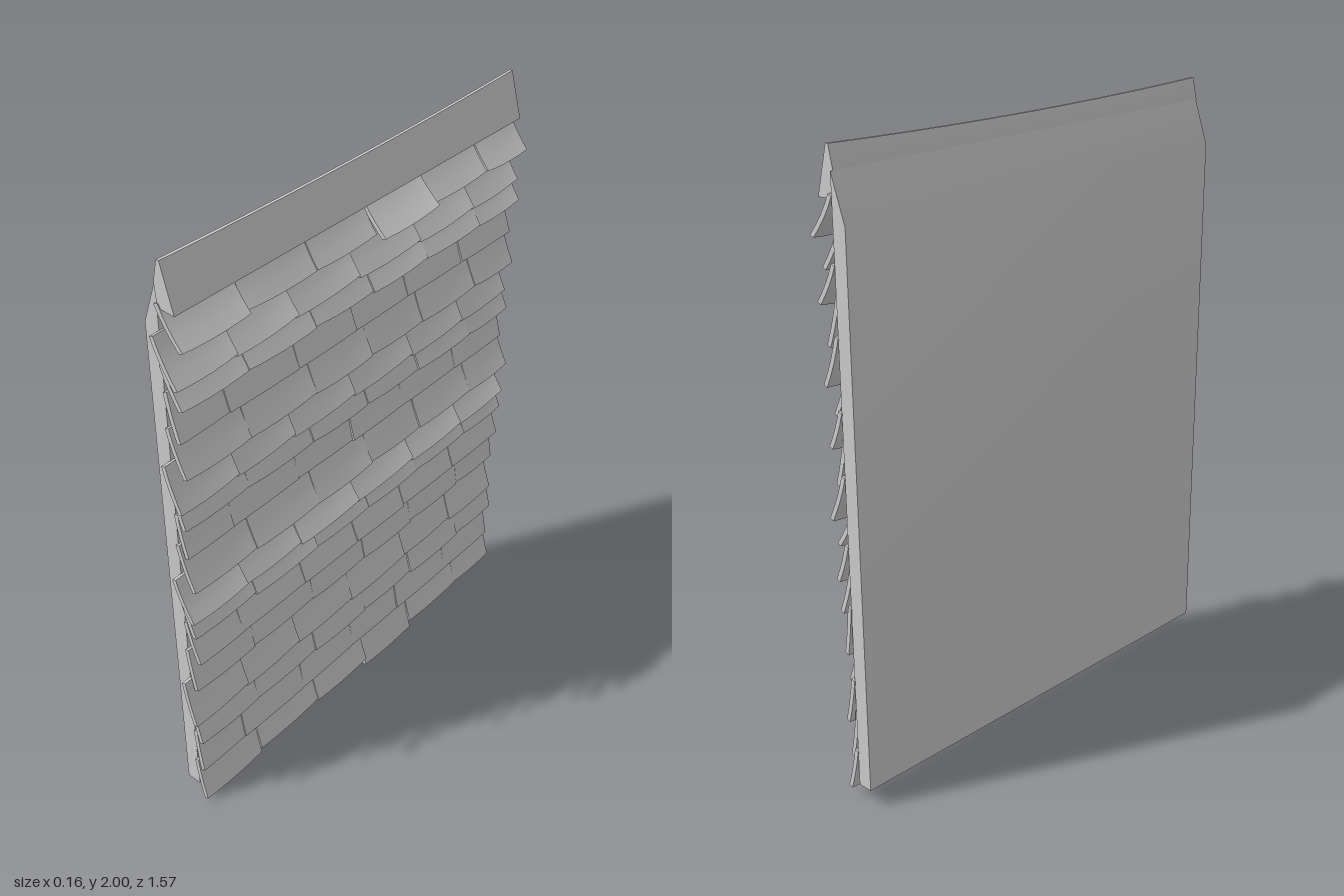
import * as THREE from 'three';
import { toCreasedNormals } from 'three/addons/utils/BufferGeometryUtils.js';

const material = new THREE.MeshStandardMaterial({ color: 0xcccccc });

// Small seeded generator for the hand-laid irregularity, -1 to 1
let seed = 11;
function vary(amount) {
  seed = (seed * 16807) % 2147483647;
  return (seed / 2147483647 * 2 - 1) * amount;
}

function addMesh(parent, geometry, name) {
  const mesh = new THREE.Mesh(toCreasedNormals(geometry, 0.6), material);
  mesh.name = name;
  parent.add(mesh);
}

// Prism along z with an xy outline
function prism(points, z0, z1, steps = 1) {
  const shape = new THREE.Shape(points.map(([x, y]) => new THREE.Vector2(x, y)));
  return new THREE.ExtrudeGeometry(shape, { depth: z1 - z0, steps, bevelEnabled: false }).translate(0, 0, z0);
}

// One slab: its top lies near the board, its lower edge flares out to x = out
function shingle(zA, zB, bottom, top, out, tilt, sag) {
  const thick = 0.014, topX = -0.024;
  const g = new THREE.BoxGeometry(thick, 1, 1, 1, 4, 5);
  const p = g.attributes.position;
  for (let i = 0; i < p.count; i++) {
    const s = p.getX(i) > 0 ? 0 : -thick;
    const down = 0.5 - p.getY(i);
    const w = p.getZ(i) * 2;
    const flare = 0.65 * down + 0.35 * down * down;
    const x = topX + (out - topX) * flare + tilt * 0.3 * w * down + s;
    const y = top + (bottom - top) * down + down * (tilt * w - sag * (1 - w * w)) + s * 0.4;
    const z = (zA + zB) / 2 + (zB - zA) / 2 * w * (0.985 + 0.012 * down);
    p.setXYZ(i, x, y, z);
  }
  return g;
}

export function createModel() {
  const model = new THREE.Group();
  model.name = 'shingledPanel';

  // Backing board with a bevelled top
  addMesh(model, prism([[-0.085, 0.055], [-0.035, 0.055], [-0.035, 1.93], [-0.085, 1.79]], -0.78, 0.755), 'backingBoard');

  // Ridge cap, sagging slightly in the middle
  const cap = prism([[-0.034, 1.93], [-0.028, 1.855], [0.032, 1.85], [-0.008, 1.998], [-0.018, 1.998]], -0.77, 0.76, 10);
  const cp = cap.attributes.position;
  for (let i = 0; i < cp.count; i++) {
    const k = 1 - (cp.getZ(i) / 0.77) ** 2;
    if (cp.getY(i) > 1.95) cp.setY(i, cp.getY(i) - 0.014 * k);
  }
  addMesh(model, cap, 'ridgeCap');

  // Courses: joint positions repeat every four rows
  const even = [0.765, 0.505, 0.22, -0.04, -0.295, -0.57, -0.785];
  const oddA = [0.76, 0.57, 0.28, 0.02, -0.23, -0.51, -0.775];
  const oddB = [0.79, 0.56, 0.315, 0.04, -0.245, -0.51, -0.755];
  const layouts = [even, oddA, even, oddB];
  // [lower edge y, how far the edge stands out in x]
  const rows = [
    [0.036, 0.012], [0.142, 0.002], [0.272, 0.008], [0.386, 0.014], [0.504, 0.0], [0.625, 0.02],
    [0.735, 0.022], [0.823, 0.042], [0.922, 0.032], [1.035, 0.006], [1.145, 0.018], [1.23, 0.03],
    [1.332, 0.032], [1.445, 0.018], [1.56, 0.038], [1.647, 0.05], [1.75, 0.05],
  ];
  const topRowOut = [0.056, 0.042, 0.043, 0.078, 0.053, 0.058];
  const firstRowDrop = [0.018, -0.004, -0.004, 0.026, -0.002, -0.002];
  rows.forEach(([y, out], r) => {
    const course = new THREE.Group();
    course.name = 'shingleCourse' + (r + 1);
    const joints = layouts[r % 4];
    const top = r < 16 ? rows[r + 1][0] + 0.035 : 1.87;
    for (let i = 0; i < 6; i++) {
      const x = r === 16 ? topRowOut[i] : out + vary(0.004);
      const drop = r === 0 ? firstRowDrop[i] : 0;
      const tilt = r % 4 === 3 ? -0.006 + vary(0.004) : vary(0.004);
      addMesh(course, shingle(joints[i + 1], joints[i], y - drop, top, x, tilt, r % 4 === 1 ? 0.002 : 0.007), 'shingle');
    }
    model.add(course);
  });
  return model;
}
